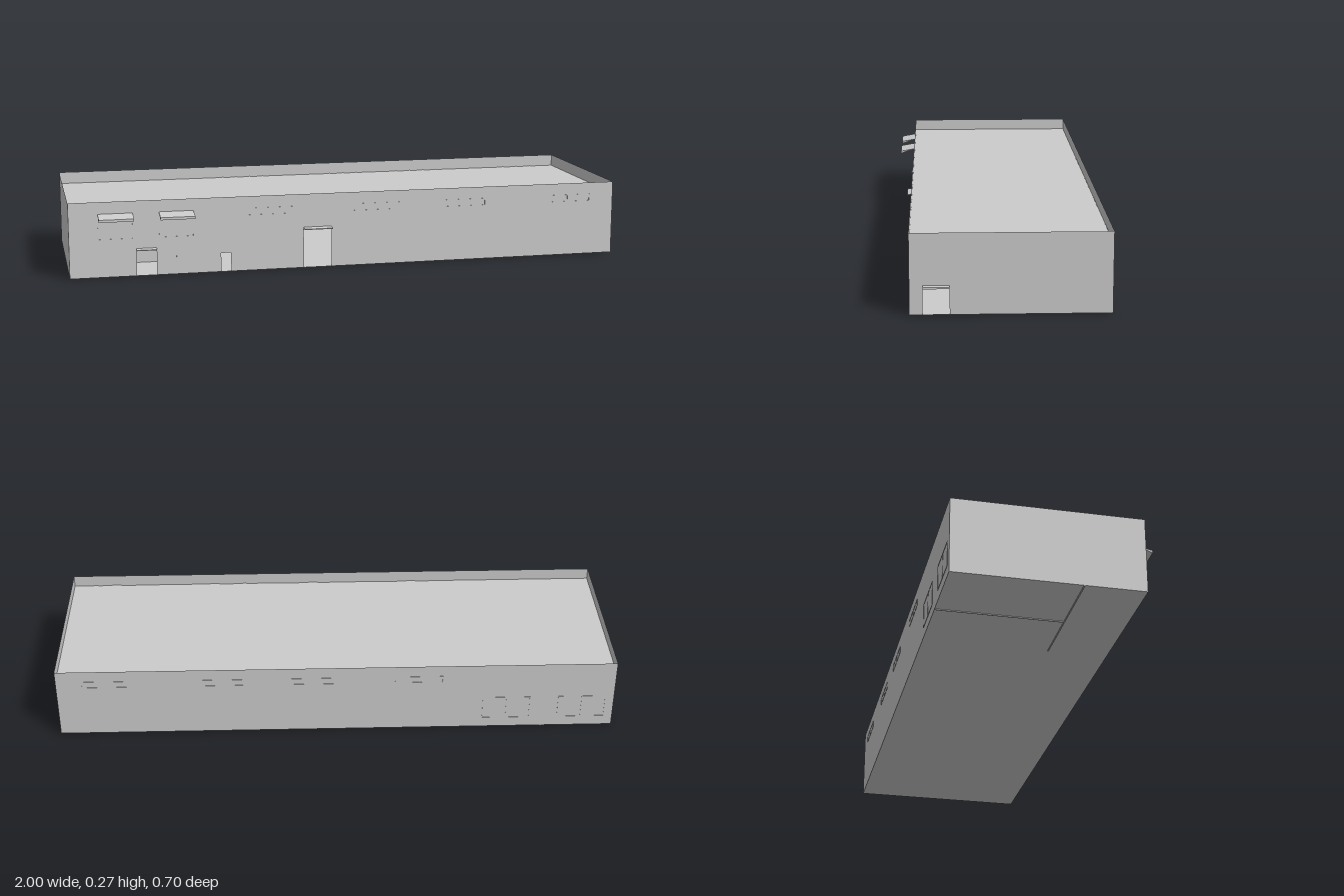
import * as THREE from 'three';

const X0 = -1, X1 = 0.98, Z0 = -0.347, Z1 = 0.294; // outer walls
const FLOOR = 0.003, ROOF = 0.225, TOP = 0.268;

const material = new THREE.MeshStandardMaterial({ color: 0xcccccc, side: THREE.DoubleSide, flatShading: true });

export function createModel() {
  const model = new THREE.Group();
  model.name = 'building';

  const add = (name, geometry) => {
    const mesh = new THREE.Mesh(geometry, material);
    mesh.name = name;
    model.add(mesh);
    return mesh;
  };

  const box = (name, x0, x1, y0, y1, z0, z1) =>
    add(name, new THREE.BoxGeometry(x1 - x0, y1 - y0, z1 - z0))
      .position.set((x0 + x1) / 2, (y0 + y1) / 2, (z0 + z1) / 2);

  // Thin wall sheet whose bottom edge is notched by door openings [from, to, top]
  const wall = (name, u0, u1, top, openings = []) => {
    const shape = new THREE.Shape();
    shape.moveTo(u0, FLOOR);
    for (const [a, b, h] of openings) {
      shape.lineTo(a, FLOOR);
      shape.lineTo(a, h);
      shape.lineTo(b, h);
      shape.lineTo(b, FLOOR);
    }
    shape.lineTo(u1, FLOOR);
    shape.lineTo(u1, top);
    shape.lineTo(u0, top);
    return add(name, new THREE.ShapeGeometry(shape));
  };

  const slab = (name, y) => {
    const mesh = add(name, new THREE.PlaneGeometry(X1 - X0, Z1 - Z0).rotateX(-Math.PI / 2));
    mesh.position.set((X0 + X1) / 2, y, (Z0 + Z1) / 2);
  };

  // Shell: the walls rise above the roof as a parapet
  wall('frontWall', X0, X1, TOP, [[-0.77, -0.7, 0.095], [-0.475, -0.44, 0.07], [-0.18, -0.08, 0.147]])
    .position.z = Z1;
  const back = wall('backWall', -X1, -X0, TOP);
  back.rotation.y = Math.PI;
  back.position.z = Z0;
  const leftEnd = wall('leftEndWall', -Z1, -Z0, TOP, [[-0.252, -0.167, 0.092]]);
  leftEnd.rotation.y = Math.PI / 2;
  leftEnd.position.x = X1;
  const rightEnd = wall('rightEndWall', Z0, Z1, TOP);
  rightEnd.rotation.y = -Math.PI / 2;
  rightEnd.position.x = X0;
  slab('floor', FLOOR);
  slab('roof', ROOF);

  // Inner partitions, their feet just below the floor
  box('longPartition', X0, -0.52, 0, ROOF, 0.084, 0.088);
  box('crossPartition', -0.746, -0.742, 0, ROOF, Z0, 0.084);
  const inner = wall('doorPartition', -Z1, -0.086, ROOF, [[-0.252, -0.177, 0.067]]);
  inner.rotation.y = Math.PI / 2;
  inner.position.x = -0.52;
  box('innerDoor', X0 + 0.001, X0 + 0.004, FLOOR, 0.06, 0.2, 0.23);

  // Wedge canopies, given by the profile in z and y
  const canopy = (name, x0, x1, profile) => {
    const shape = new THREE.Shape(profile.map(([z, y]) => new THREE.Vector2(-z, y)));
    const geometry = new THREE.ExtrudeGeometry(shape, { depth: x1 - x0, bevelEnabled: false });
    add(name, geometry.rotateY(Math.PI / 2)).position.x = x0;
  };
  const awning = [[Z1, 0.226], [0.35, 0.216], [0.35, 0.207]];
  canopy('windowAwning', -0.9, -0.78, awning);
  canopy('windowAwning', -0.69, -0.57, awning);
  canopy('smallDoorCanopy', -0.77, -0.7, [[Z1, 0.1], [0.311, 0.097], [0.311, 0.094]]);
  canopy('largeDoorCanopy', -0.18, -0.08, [[Z1, 0.149], [0.317, 0.146], [0.317, 0.143]]);
  box('endDoorCanopy', X1, 1, 0.092, 0.098, 0.167, 0.252);

  // Narrow frames almost flush with the wall; side is 1 for front, -1 for back
  const windowFrame = (name, side, x0, x1, y0, y1, mullion) => {
    const face = side > 0 ? Z1 : Z0, t = 0.002;
    const z0 = face - 0.001, z1 = face + 0.001;
    box(name + 'Sill', x0, x1, y0, y0 + t, z0, z1);
    box(name + 'Head', x0, x1, y1 - t, y1, z0, z1);
    const posts = mullion ? [x0, (x0 + x1 - t) / 2, x1 - t] : [x0, x1 - t];
    for (const x of posts) box(name + 'Post', x, x + t, y0, y1, z0, z1);
  };

  for (const x of [-0.3, 0.085, 0.405, 0.805]) {
    windowFrame('frontHighWindow', 1, x - 0.085, x + 0.085, 0.2, 0.226, true);
    windowFrame('backHighWindow', -1, x - 0.085, x + 0.085, 0.2, 0.226, true);
  }
  for (const x of [-0.615, -0.885])
    windowFrame('backLowWindow', -1, x - 0.085, x + 0.085, 0.04, 0.13, true);
  for (const x of [-0.84, -0.63])
    windowFrame('awningWindow', 1, x - 0.06, x + 0.06, 0.135, 0.2, false);
  box('wallStrip', -0.631, -0.629, FLOOR, 0.135, Z1 - 0.001, Z1 + 0.001);

  return model;
}
